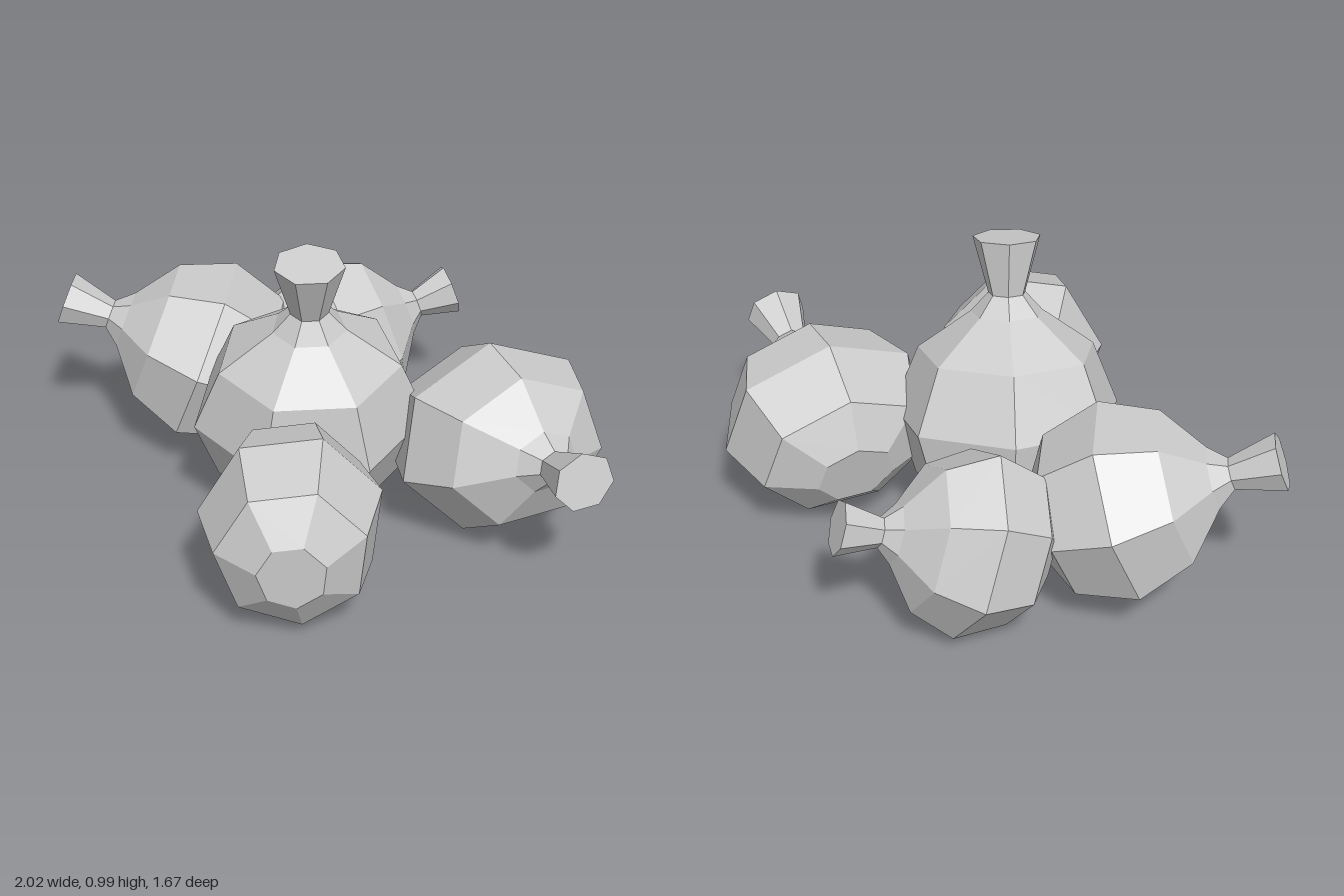
import * as THREE from 'three';

// Bulb outline: [fraction of length from the base, fraction of radius]
const PROFILE = [[0, 0], [0, 0.37], [0.11, 0.81], [0.36, 1], [0.59, 0.77], [0.73, 0.31], [0.8, 0.16], [1, 0.29], [1, 0]];
const SIDES = 7;
const HALF_SIDE = Math.PI / SIDES;

// base and tip are the ends of the axis; width and height are radii across it
const BULBS = [
  { name: 'centreBulb', base: [-0.05, 0.07, 0], tip: [0.04, 0.965, 0.175], width: 0.38, height: 0.34, spin: -0.4 },
  { name: 'frontBulb', base: [0.28, 0.295, 0.785], tip: [-0.06, 0.33, 0.1], width: 0.285, height: 0.31, spin: -0.12 },
  { name: 'leftBulb', base: [0.345, 0.255, -0.3], tip: [0.945, 0.46, 0.195], width: 0.355, height: 0.31, spin: HALF_SIDE },
  { name: 'rightBulb', base: [-0.28, 0.255, -0.26], tip: [-0.965, 0.525, -0.005], width: 0.335, height: 0.305, spin: 0 },
  { name: 'backBulb', base: [-0.345, 0.24, -0.37], tip: [0.125, 0.44, -0.78], width: 0.275, height: 0.31, spin: HALF_SIDE },
];

// Faceted lathe running from the flat base to the flared stem end
function makeBulb({ name, base, tip, width, height, spin }, material) {
  const start = new THREE.Vector3(...base);
  const axis = new THREE.Vector3(...tip).sub(start);
  const length = axis.length();
  axis.normalize();

  const points = PROFILE.map(([t, r]) => new THREE.Vector2(r, t * length));
  const lathe = new THREE.LatheGeometry(points, SIDES, spin);
  lathe.scale(width, 1, height);

  // Local x stays horizontal, local y follows the axis
  const side = new THREE.Vector3(0, 1, 0).cross(axis).normalize();
  const up = new THREE.Vector3().crossVectors(side, axis);
  lathe.applyMatrix4(new THREE.Matrix4().makeBasis(side, axis, up).setPosition(start));

  const geometry = lathe.toNonIndexed();
  geometry.computeVertexNormals();
  const mesh = new THREE.Mesh(geometry, material);
  mesh.name = name;
  return mesh;
}

export function createModel() {
  const skin = new THREE.MeshStandardMaterial({ color: 0xcccccc });
  skin.name = 'pale grey skin';
  const group = new THREE.Group();
  group.name = 'bulbCluster';
  for (const bulb of BULBS) group.add(makeBulb(bulb, skin));
  return group;
}
